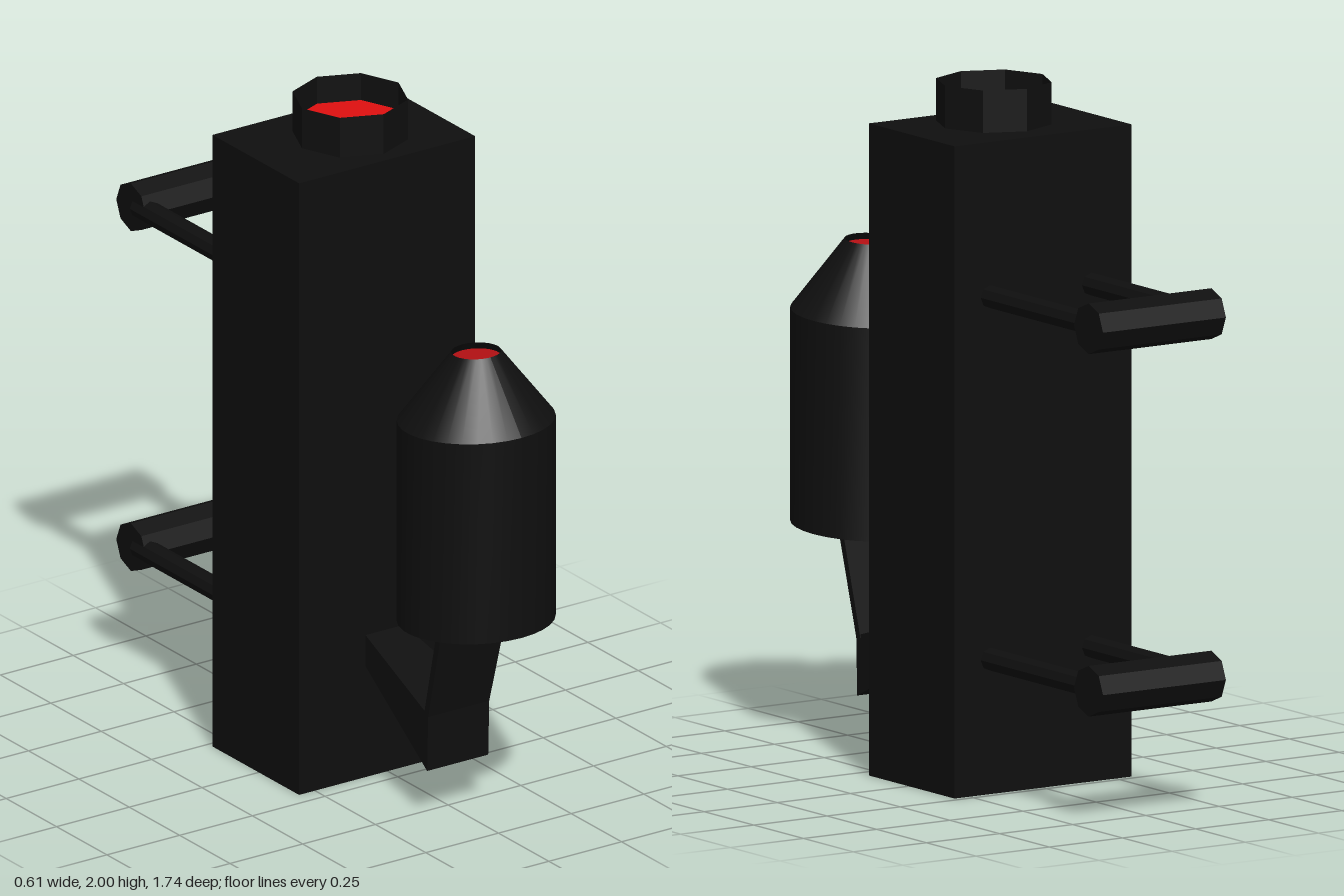
import * as THREE from 'three';

const paint = (color, flatShading = true) =>
  new THREE.MeshStandardMaterial({ color, flatShading, side: THREE.DoubleSide });
const black = paint(0x0f0f0f);
const smoothBlack = paint(0x0f0f0f, false);
const red = paint(0xe01010);
const darkRed = paint(0xb51014);

function add(parent, name, geometry, material, x = 0, y = 0, z = 0) {
  const mesh = new THREE.Mesh(geometry, material);
  mesh.name = name;
  mesh.position.set(x, y, z);
  parent.add(mesh);
  return mesh;
}

function group(parent, name) {
  const g = new THREE.Group();
  g.name = name;
  parent.add(g);
  return g;
}

// Box reshaped by its side corners [z, y, half width]: back low, back high, front low, front high
function taperedBox(corners) {
  const geo = new THREE.BoxGeometry(1, 1, 1);
  const p = geo.attributes.position;
  for (let i = 0; i < p.count; i++) {
    const [z, y, w] = corners[(p.getZ(i) > 0 ? 2 : 0) + (p.getY(i) > 0 ? 1 : 0)];
    p.setXYZ(i, Math.sign(p.getX(i)) * w, y, z);
  }
  geo.computeVertexNormals();
  return geo;
}

// Tilt the rings of the pod by sliding vertices up toward the front
function shear(geo) {
  const p = geo.attributes.position;
  for (let i = 0; i < p.count; i++) p.setY(i, p.getY(i) + 0.065 * p.getZ(i));
  geo.computeVertexNormals();
  return geo;
}

export function createModel() {
  const model = new THREE.Group();
  model.name = 'canister';

  // Main block
  add(model, 'body', new THREE.BoxGeometry(0.605, 1.875, 0.43), black, -0.002, 0.9375, -0.015);

  // Open octagonal neck with a recessed red floor
  const neck = group(model, 'neck');
  add(neck, 'neckWall', new THREE.CylinderGeometry(0.166, 0.166, 0.122, 8, 1, true), black, 0.01, 1.939, 0);
  add(neck, 'neckFloor', new THREE.CircleGeometry(0.165, 8).rotateX(-Math.PI / 2), red, 0.01, 1.918, 0);

  // Two rear handles: a pair of rods and an octagonal grip
  for (const [name, y] of [['upperHandle', 1.43], ['lowerHandle', 0.388]]) {
    const handle = group(model, name);
    for (const x of [-0.168, 0.178]) {
      add(handle, 'rod', new THREE.CylinderGeometry(0.033, 0.033, 0.58, 8).rotateX(Math.PI / 2), black, x, y, -0.5);
    }
    add(handle, 'grip', new THREE.CylinderGeometry(0.073, 0.073, 0.42, 8).rotateZ(Math.PI / 2), black, 0.018, y, -0.797);
  }

  // Front pod: cylinder, conical shoulder and small open mouth
  const pod = group(model, 'pod');
  pod.position.set(-0.004, 0, 0.645);
  add(pod, 'podWall', shear(new THREE.CylinderGeometry(0.225, 0.225, 0.613, 32, 1, true)), smoothBlack, 0, 0.9325, 0);
  add(pod, 'podShoulder', shear(new THREE.CylinderGeometry(0.071, 0.225, 0.204, 32, 1, true)), smoothBlack, 0, 1.341, 0);
  add(pod, 'podBase', shear(new THREE.CircleGeometry(0.225, 32).rotateX(Math.PI / 2)), black, 0, 0.626, 0);
  add(pod, 'podMouth', shear(new THREE.CircleGeometry(0.071, 32).rotateX(-Math.PI / 2)), darkRed, 0, 1.425, 0);

  // Bracket: flared arm from the body and a thin upright plate into the pod
  const bracket = group(model, 'bracket');
  add(bracket, 'arm', taperedBox([
    [0.19, 0.345, 0.065], [0.19, 0.438, 0.065], [0.562, 0.153, 0.105], [0.567, 0.325, 0.105],
  ]), black, -0.01);
  add(bracket, 'plate', taperedBox([
    [0.546, 0.32, 0.105], [0.632, 0.65, 0.113], [0.567, 0.32, 0.105], [0.654, 0.65, 0.113],
  ]), black, -0.01);

  return model;
}
